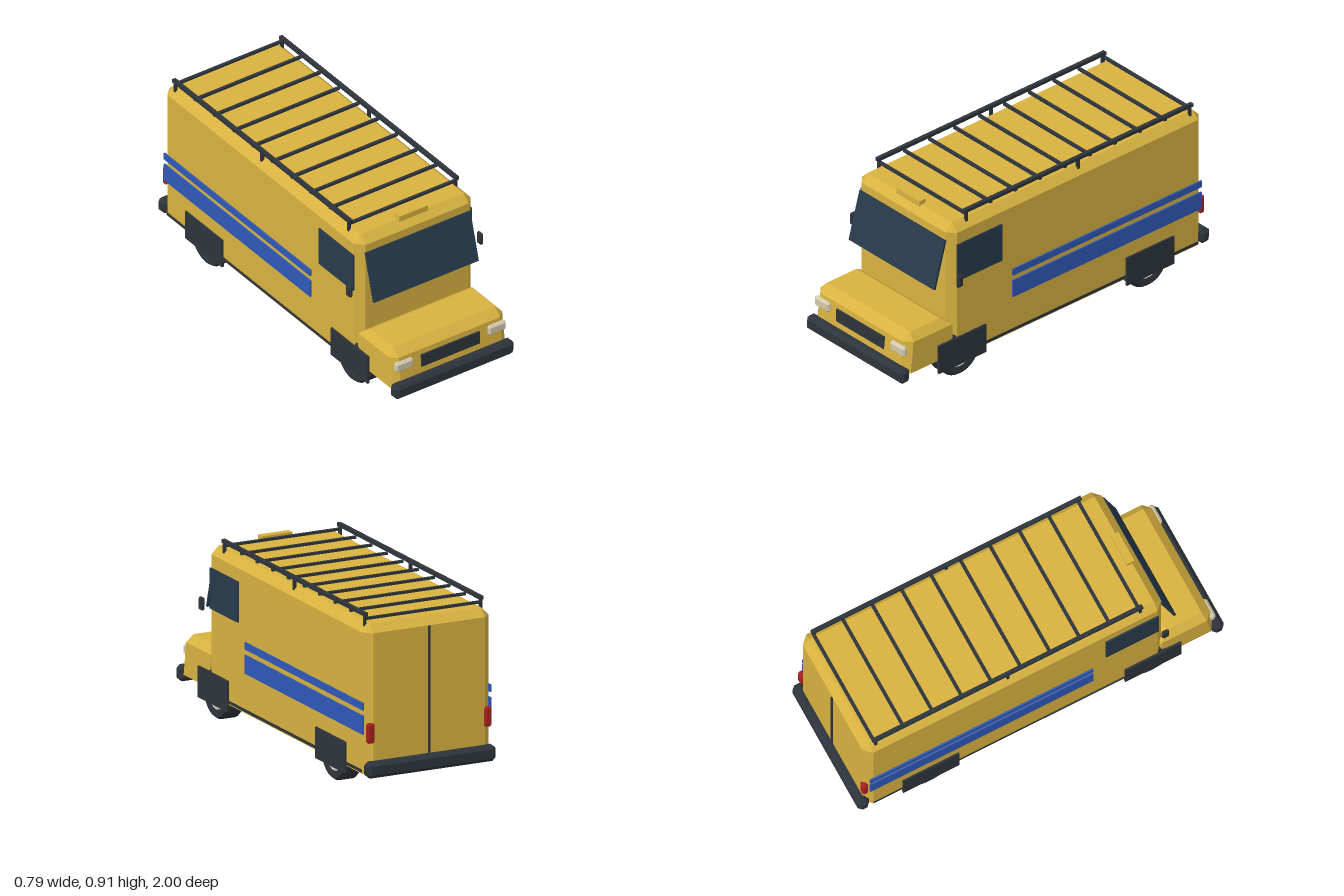
import * as THREE from 'three';
import { toCreasedNormals } from 'three/addons/utils/BufferGeometryUtils.js';
import { ConvexGeometry } from 'three/addons/geometries/ConvexGeometry.js';

const paint = (name, color) => {
  const m = new THREE.MeshStandardMaterial({ color });
  m.name = name;
  return m;
};

// Box with flat chamfers; the bottom edges may stay sharp.
function chamferBox(w, h, d, c, sharpBottom = false) {
  const pts = [];
  for (const sx of [-1, 1]) for (const sy of [-1, 1]) for (const sz of [-1, 1]) {
    const x = sx * w / 2, y = sy * h / 2, z = sz * d / 2;
    const cy = sharpBottom && sy < 0 ? 0 : c;
    pts.push(new THREE.Vector3(x - sx * c, y - sy * cy, z));
    pts.push(new THREE.Vector3(x, y - sy * cy, z - sz * c));
    if (cy) pts.push(new THREE.Vector3(x - sx * c, y, z - sz * c));
  }
  return new ConvexGeometry(pts);
}

export function createModel() {
  const van = new THREE.Group();
  van.name = 'stepVan';
  const yellow = paint('yellow paint', 0xd8b240);
  const dark = paint('dark trim', 0x2d343b);
  const glass = paint('dark glass', 0x273b4c);
  const blue = paint('blue stripe', 0x2f59b8);
  const red = paint('red lens', 0xa82020);
  const cream = paint('cream lens and hub', 0xd2c9ae);

  const add = (name, geo, mat, x = 0, y = 0, z = 0, parent = van) => {
    const m = new THREE.Mesh(geo, mat);
    m.name = name;
    m.position.set(x, y, z);
    parent.add(m);
    return m;
  };
  const box = (w, h, d) => new THREE.BoxGeometry(w, h, d);

  // Cargo body
  add('body', chamferBox(0.69, 0.75, 1.635, 0.04, true), yellow, 0, 0.485, -0.1425);

  // Short sloping hood
  const hoodPts = [];
  for (const s of [-1, 1]) {
    for (const [x, y, z] of [
      [0.34, 0.14, 0.66], [0.34, 0.14, 0.93], [0.30, 0.14, 0.962],
      [0.337, 0.308, 0.66], [0.337, 0.308, 0.91], [0.30, 0.308, 0.946],
      [0.302, 0.347, 0.71], [0.302, 0.347, 0.90], [0.30, 0.308, 0.65],
    ]) hoodPts.push(new THREE.Vector3(s * x, y, z));
  }
  add('hood', new ConvexGeometry(hoodPts), yellow);
  add('grille', box(0.347, 0.068, 0.02), dark, 0, 0.246, 0.948);

  // Bumpers
  const bumper = chamferBox(0.705, 0.08, 0.062, 0.018);
  add('frontBumper', bumper, dark, 0, 0.14, 0.969);
  add('rearBumper', bumper, dark, 0, 0.14, -0.969);

  // Windscreen leaning out at its foot
  const screen = add('windscreen', box(0.62, 0.262, 0.012), glass, 0, 0.652, 0.714);
  screen.rotation.x = -0.27;

  // Rear door seam and roof marker
  add('rearDoorSeam', box(0.01, 0.64, 0.012), dark, 0, 0.5, -0.961);
  add('roofMarker', box(0.168, 0.03, 0.04), yellow, 0, 0.867, 0.627);

  // Wheel shapes
  const tyreProfile = [
    [0.08, -0.044], [0.105, -0.052], [0.117, -0.05], [0.128, -0.036],
    [0.128, 0.036], [0.117, 0.05], [0.105, 0.052], [0.08, 0.044],
  ].map(([r, y]) => new THREE.Vector2(r, y));
  const tyre = toCreasedNormals(new THREE.LatheGeometry(tyreProfile, 32), 0.7);
  const hub = new THREE.CylinderGeometry(0.081, 0.081, 0.08, 32);
  for (const g of [tyre, hub]) g.rotateZ(Math.PI / 2);

  // Parts repeated on both sides
  for (const s of [-1, 1]) {
    const side = s > 0 ? 'left' : 'right';
    add(side + 'Window', box(0.009, 0.205, 0.288), glass, s * 0.349, 0.652, 0.494);
    add(side + 'UpperStripe', box(0.009, 0.036, 1.22), blue, s * 0.3485, 0.452, -0.33);
    add(side + 'LowerStripe', box(0.009, 0.094, 1.22), blue, s * 0.3485, 0.359, -0.33);
    add(side + 'Sill', box(0.012, 0.014, 1.5), dark, s * 0.343, 0.124, -0.17);
    add(side + 'Mirror', chamferBox(0.02, 0.066, 0.038, 0.007), dark, s * 0.387, 0.574, 0.655);
    add(side + 'Headlight', chamferBox(0.104, 0.054, 0.032, 0.01), cream, s * 0.274, 0.262, 0.95);
    add(side + 'TailLight', chamferBox(0.038, 0.1, 0.03, 0.008), red, s * 0.32, 0.32, -0.957);

    for (const [end, z] of [['Front', 0.607], ['Rear', -0.607]]) {
      const wheel = new THREE.Group();
      wheel.name = side + end + 'Wheel';
      wheel.position.set(s * 0.289, 0.128, z);
      van.add(wheel);
      add('tyre', tyre, dark, 0, 0, 0, wheel);
      add('hub', hub, cream, 0, 0, 0, wheel);
      add(side + end + 'MudFlap', box(0.012, 0.156, 0.308), dark, s * 0.349, 0.152, z);
    }
  }

  // Roof rack
  const rack = new THREE.Group();
  rack.name = 'roofRack';
  van.add(rack);
  for (const s of [-1, 1]) {
    add('rackRail', box(0.02, 0.018, 1.475), dark, s * 0.316, 0.902, -0.17, rack);
    for (const z of [0.553, -0.17, -0.893]) {
      add('rackPost', box(0.014, 0.06, 0.014), dark, s * 0.316, 0.87, z, rack);
    }
  }
  for (let i = 0; i < 10; i++) {
    add('rackBar', box(0.63, 0.012, 0.016), dark, 0, 0.881, 0.55 - i * 0.161, rack);
  }

  return van;
}
